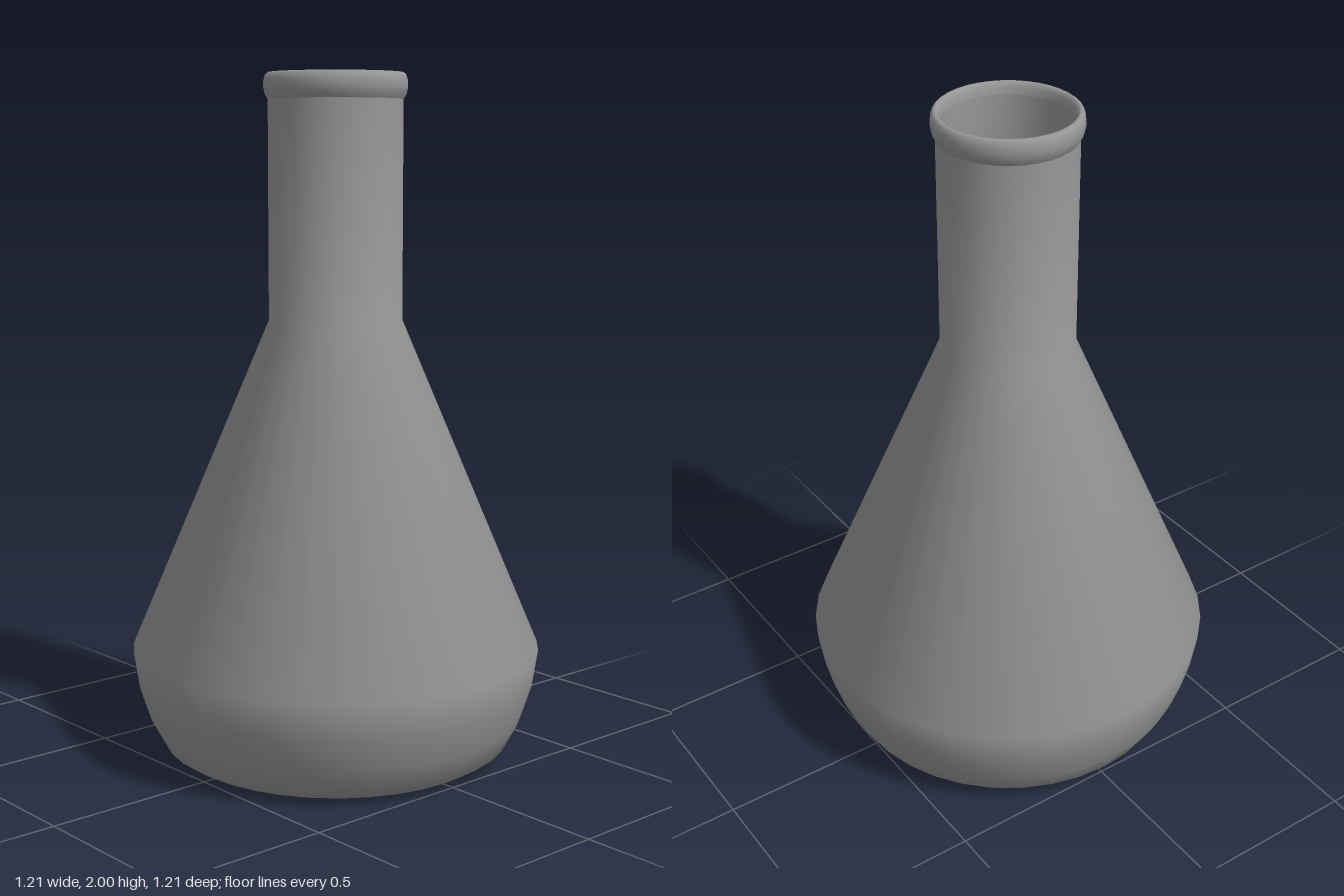
import * as THREE from 'three';

const SIDES = 36;

// Turned surface whose normals blend neighbouring profile segments equally
function lathe(name, profile, material) {
  const points = profile.map(([r, y]) => new THREE.Vector2(r, y));
  const segments = points.slice(1).map((p, i) => {
    const d = p.clone().sub(points[i]).normalize();
    return new THREE.Vector2(d.y, -d.x);
  });
  const blended = points.map((p, i) => {
    const before = segments[Math.max(i - 1, 0)];
    const after = segments[Math.min(i, segments.length - 1)];
    return before.clone().add(after).normalize();
  });
  const geometry = new THREE.LatheGeometry(points, SIDES);
  const normal = geometry.attributes.normal;
  for (let i = 0; i < normal.count; i++) {
    const angle = Math.floor(i / points.length) * 2 * Math.PI / SIDES;
    const n = blended[i % points.length];
    normal.setXYZ(i, n.x * Math.sin(angle), n.y, n.x * Math.cos(angle));
  }
  const mesh = new THREE.Mesh(geometry, material);
  mesh.name = name;
  return mesh;
}

export function createModel() {
  const flask = new THREE.Group();
  flask.name = 'flask';
  const material = new THREE.MeshStandardMaterial({ color: 0x979797, side: THREE.DoubleSide });

  // Outer wall: flat base, rounded belly, conical shoulder, straight neck
  flask.add(lathe('outerWall', [
    [0, 0.002], [0.44, 0.002], [0.468, 0.005], [0.513, 0.033], [0.555, 0.11], [0.588, 0.21],
    [0.605, 0.32], [0.195, 1.29], [0.195, 1.935],
  ], material));

  // Rolled lip around the mouth
  flask.add(lathe('lip', [
    [0.195, 1.925], [0.204, 1.94], [0.208, 1.96], [0.207, 1.98], [0.202, 1.995],
    [0.195, 2], [0.188, 1.996], [0.183, 1.985], [0.18, 1.965],
  ], material));

  // Inner wall, running from the mouth down to the floor
  flask.add(lathe('innerWall', [
    [0.18, 1.965], [0.18, 1.295], [0.588, 0.32], [0.572, 0.21],
    [0.54, 0.12], [0.5, 0.045], [0.46, 0.02], [0, 0.02],
  ], material));

  return flask;
}
